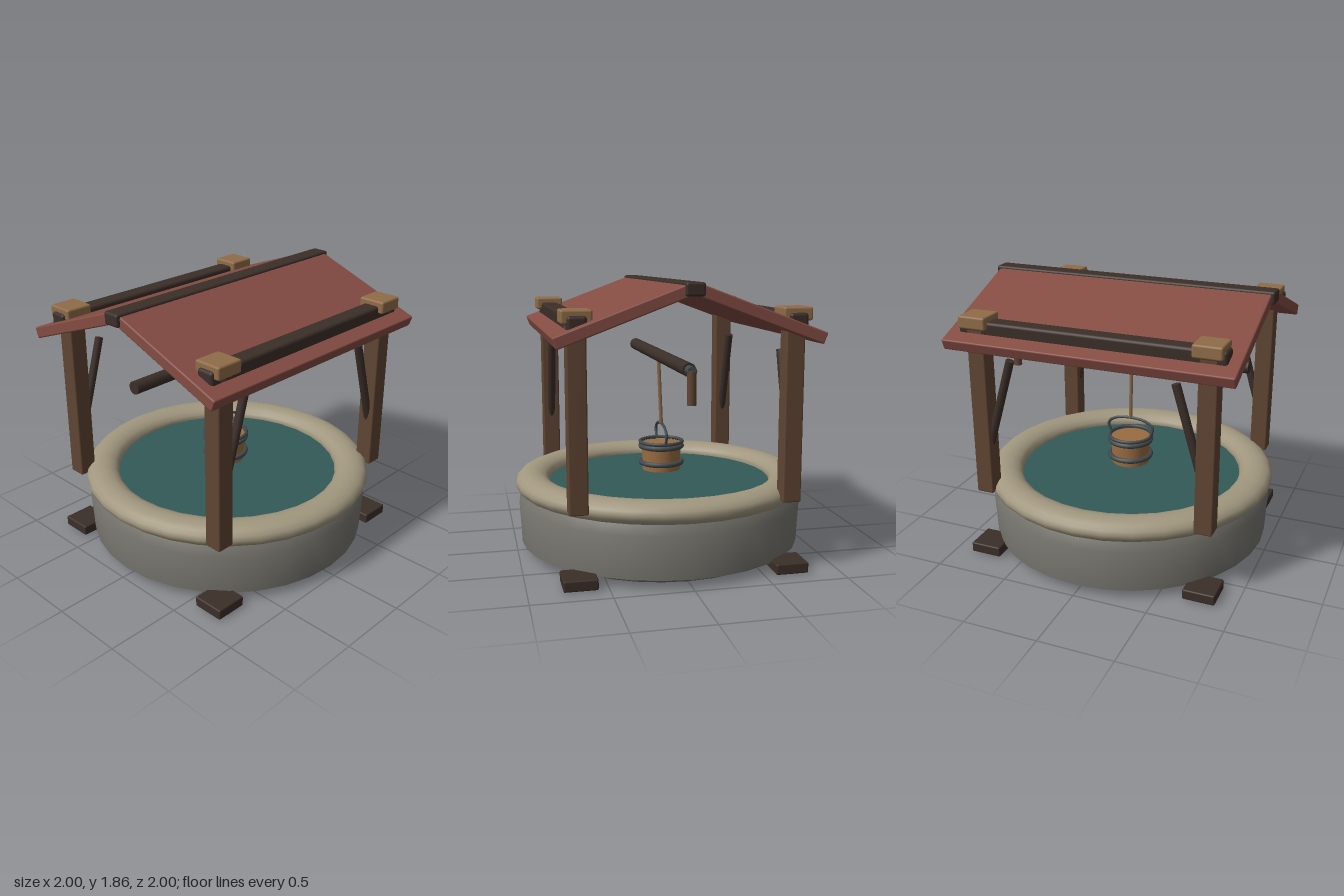
import * as THREE from 'three';
import { RoundedBoxGeometry } from 'three/addons/geometries/RoundedBoxGeometry.js';
import { toCreasedNormals } from 'three/addons/utils/BufferGeometryUtils.js';

const mat = (color, extra = {}) => new THREE.MeshStandardMaterial({ color, ...extra });
const M = {
  stone: mat(0x74736c), rim: mat(0xa1977f), wood: mat(0x5f4533), dark: mat(0x3b2e28),
  cap: mat(0x8f6c48), roof: mat(0x844c43), water: mat(0x335a57), metal: mat(0x43494b),
  rope: mat(0x86694a), bucket: mat(0x9a6c42),
};
const V = (x, y, z) => new THREE.Vector3(x, y, z);

export function createModel() {
  const model = new THREE.Group();
  model.name = 'well';

  const add = (name, geometry, material, x = 0, y = 0, z = 0, parent = model) => {
    const mesh = new THREE.Mesh(geometry, material);
    mesh.name = name;
    mesh.position.set(x, y, z);
    parent.add(mesh);
    return mesh;
  };
  const box = (name, w, h, d, material, x, y, z, r = 0.01) =>
    add(name, new RoundedBoxGeometry(w, h, d, 2, r), material, x, y, z);
  // Cylinder running between two points
  const rod = (name, a, b, r, material, sides = 12) => {
    const mesh = add(name, new THREE.CylinderGeometry(r, r, a.distanceTo(b), sides), material);
    mesh.position.copy(a).add(b).multiplyScalar(0.5);
    mesh.quaternion.setFromUnitVectors(V(0, 1, 0), b.clone().sub(a).normalize());
    return mesh;
  };

  // Hollow stone wall, a closed ring profile
  const profile = [
    [0.61, 0.02], [0.64, 0.005], [0.83, 0.005], [0.965, 0.065], [0.98, 0.35], [0.94, 0.42],
    [0.72, 0.42], [0.64, 0.38], [0.61, 0.02],
  ].map(([r, y]) => new THREE.Vector2(r, y));
  add('stoneWall', toCreasedNormals(new THREE.LatheGeometry(profile, 32), 0.7), M.stone);

  // Flattened rounded coping on top of the wall
  const rim = new THREE.TorusGeometry(0.885, 0.115, 16, 32);
  rim.rotateX(Math.PI / 2).scale(1, 0.66, 1);
  add('stoneRim', rim, M.rim, 0, 0.475, 0);

  add('water', new THREE.CylinderGeometry(0.79, 0.79, 0.03, 32), M.water, 0, 0.455, 0);

  // Four corners: foot, post, cap and diagonal brace
  for (const sx of [-1, 1]) {
    for (const sz of [-1, 1]) {
      const x = 0.767 * sx, z = 0.677 * sz;
      box('foot', 0.215, 0.07, 0.215, M.dark, x, 0.046, z);
      box('post', 0.12, 1.15, 0.12, M.wood, x, 1.045, z);
      box('postCap', 0.188, 0.084, 0.188, M.cap, x, 1.663, z, 0.014);
      rod('brace', V(-0.745 * -sx, 0.78, z), V(0.556 * sx, 1.417, z), 0.028, M.dark);
    }
  }

  // Long beams and sloping roof panels, front and back
  const slope = 0.358;
  for (const s of [-1, 1]) {
    box('roofBeam', 1.76, 0.12, 0.12, M.dark, 0, 1.61, 0.677 * s, 0.02);
    const panel = box('roofPanel', 1.91, 0.075, 0.875, M.roof, 0, 1.672, 0.41 * s);
    panel.rotation.x = slope * s;
  }
  box('ridgeBeam', 1.955, 0.082, 0.12, M.dark, 0, 1.819, 0, 0.015);

  // Winding axle with its crank
  rod('axle', V(-0.825, 1.335, 0), V(0.825, 1.335, 0), 0.043, M.dark, 16);
  rod('crankArm', V(0.8, 1.335, 0), V(0.9, 1.335, 0), 0.03, M.metal);
  rod('crankHandle', V(0.885, 1.13, 0), V(0.885, 1.335, 0), 0.029, M.wood);
  rod('rope', V(0, 1.33, 0.004), V(0, 0.855, -0.016), 0.013, M.rope, 8);

  // Bucket with hoops and bail
  const bucket = new THREE.Group();
  bucket.name = 'bucket';
  bucket.position.z = -0.016;
  model.add(bucket);
  add('bucketBody', new THREE.CylinderGeometry(0.137, 0.132, 0.185, 20), M.bucket, 0, 0.625, 0, bucket);
  for (const [y, r, tube] of [[0.585, 0.143, 0.018], [0.7, 0.143, 0.018], [0.73, 0.148, 0.012]]) {
    const hoop = add('bucketHoop', new THREE.TorusGeometry(r, tube, 8, 24), M.metal, 0, y, 0, bucket);
    hoop.rotation.x = Math.PI / 2;
  }
  const bail = new THREE.CatmullRomCurve3([
    V(-0.143, 0.72, 0), V(-0.165, 0.8, 0), V(-0.11, 0.842, 0), V(0, 0.857, 0),
    V(0.11, 0.842, 0), V(0.165, 0.8, 0), V(0.143, 0.72, 0),
  ]);
  add('bucketBail', new THREE.TubeGeometry(bail, 32, 0.01, 8), M.metal, 0, 0, 0, bucket);

  return model;
}
